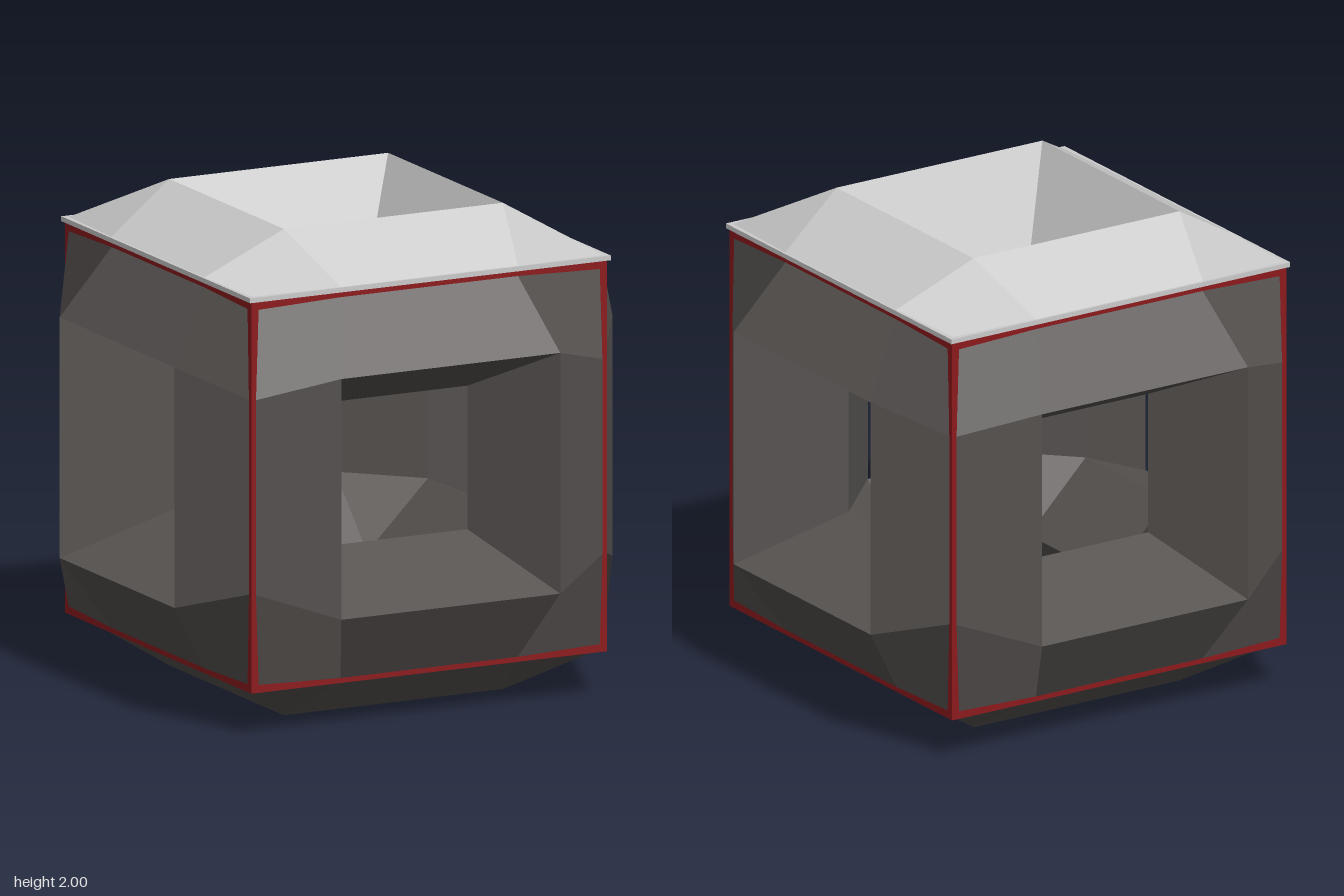
import * as THREE from 'three';

const CENTER_Y = 0.99;
const OUTER = 0.99;   // distance of the raised rim from the centre
const RIM = 0.495;    // half width of the opening at the raised rim
const HOLE = 0.295;   // half width of the opening at its inner end
const DEPTH = 0.57;   // distance of the inner end from the centre
const EDGE = 0.786;   // half width of a frame at its base
const BASE = 0.802;   // distance of the frame base from the centre
const CUT = 0.4;      // where the sides give way to the corner facets

const dark = new THREE.MeshStandardMaterial({ color: 0x575351 });
const light = new THREE.MeshStandardMaterial({ color: 0xcccccc });
const red = new THREE.MeshStandardMaterial({ color: 0x8c1a1c });

// Collects triangles and quads, each with one normal across the whole facet
class Facets {
  positions = [];
  normals = [];
  add(points, inward = false) {
    let p = points.map((c) => new THREE.Vector3(...c));
    const normalOf = (q) => q[2].clone().sub(q[0])
      .cross((q[3] ?? q[0]).clone().sub(q[1])).normalize();
    let n = normalOf(p);
    if (inward && n.dot(p[0]) > 0) {
      p.reverse();
      n = normalOf(p);
    }
    // Quads split along the diagonal from corner 1 to corner 3
    const order = p.length === 4 ? [0, 1, 3, 1, 2, 3] : [0, 1, 2];
    for (const i of order) {
      this.positions.push(...p[i].toArray());
      this.normals.push(...n.toArray());
    }
  }
  build() {
    const g = new THREE.BufferGeometry();
    g.setAttribute('position', new THREE.Float32BufferAttribute(this.positions, 3));
    g.setAttribute('normal', new THREE.Float32BufferAttribute(this.normals, 3));
    return g;
  }
}

// One faceted square frame facing +z, with a tapering opening
function frameGeometry(lift = 0, edge = EDGE) {
  const f = new Facets();
  const top = OUTER + lift, base = BASE + lift;
  const turns = [[1, 0], [0, 1], [-1, 0], [0, -1]];
  for (const [c, s] of turns) {
    const at = (x, y, z) => [x * c - y * s, x * s + y * c, z];
    // sloping side
    f.add([at(-CUT, edge, base), at(-RIM, RIM, top), at(RIM, RIM, top), at(CUT, edge, base)]);
    // corner facet
    f.add([at(CUT, edge, base), at(RIM, RIM, top), at(edge, CUT, base), at(edge, edge, base - 0.008)]);
    // wall of the opening
    f.add([at(-RIM, RIM, top), at(-HOLE, HOLE, DEPTH), at(HOLE, HOLE, DEPTH), at(RIM, RIM, top)]);
  }
  return f.build();
}

// Hollow centre: bevels between neighbouring openings and a triangle per corner
function cavityGeometry() {
  const f = new Facets();
  const signs = [-1, 1];
  for (let axis = 0; axis < 3; axis++) {
    const turn = (p) => p.map((_, i) => p[(i + axis) % 3]);
    for (const u of signs) for (const v of signs) {
      f.add([
        [-HOLE, u * HOLE, v * DEPTH], [-HOLE, u * DEPTH, v * HOLE],
        [HOLE, u * DEPTH, v * HOLE], [HOLE, u * HOLE, v * DEPTH],
      ].map(turn), true);
    }
  }
  for (const x of signs) for (const y of signs) for (const z of signs) {
    f.add([
      [x * HOLE, y * HOLE, z * DEPTH], [x * HOLE, y * DEPTH, z * HOLE], [x * DEPTH, y * HOLE, z * HOLE],
    ], true);
  }
  return f.build();
}

export function createModel() {
  const model = new THREE.Group();
  const body = new THREE.Group();
  body.name = 'hollowCube';
  body.position.y = CENTER_Y;
  model.add(body);

  const add = (name, geometry, material) => {
    const mesh = new THREE.Mesh(geometry, material);
    mesh.name = name;
    body.add(mesh);
    return mesh;
  };

  // Five dark frames
  const frame = frameGeometry();
  const quarter = Math.PI / 2;
  add('frontFrame', frame, dark);
  add('backFrame', frame, dark).rotation.y = Math.PI;
  add('leftFrame', frame, dark).rotation.y = quarter;
  add('rightFrame', frame, dark).rotation.y = -quarter;
  add('bottomFrame', frame, dark).rotation.x = quarter;

  // Pale lid frame, slightly raised and wider
  add('topFrame', frameGeometry(0.02, 0.81), light).rotation.x = -quarter;

  add('cavity', cavityGeometry(), dark);

  // Red trim along the twelve edges
  const half = 0.804, thick = 0.034, mid = half - thick / 2;
  for (let axis = 0; axis < 3; axis++) {
    const size = [thick, thick, thick];
    size[axis] = half * 2;
    const bar = new THREE.BoxGeometry(...size);
    for (const u of [-1, 1]) for (const v of [-1, 1]) {
      const p = [0, 0, 0];
      p[(axis + 1) % 3] = u * mid;
      p[(axis + 2) % 3] = v * mid;
      add('edgeTrim', bar, red).position.set(...p);
    }
  }

  // Thin pale lip under the lid
  const lip = 0.815, lipWidth = 0.05;
  for (let k = 0; k < 4; k++) {
    const strip = new THREE.BoxGeometry(lip * 2, 0.02, lipWidth);
    strip.translate(0, 0.815, lip - lipWidth / 2);
    strip.rotateY(k * quarter);
    add('lidLip', strip, light);
  }

  return model;
}
